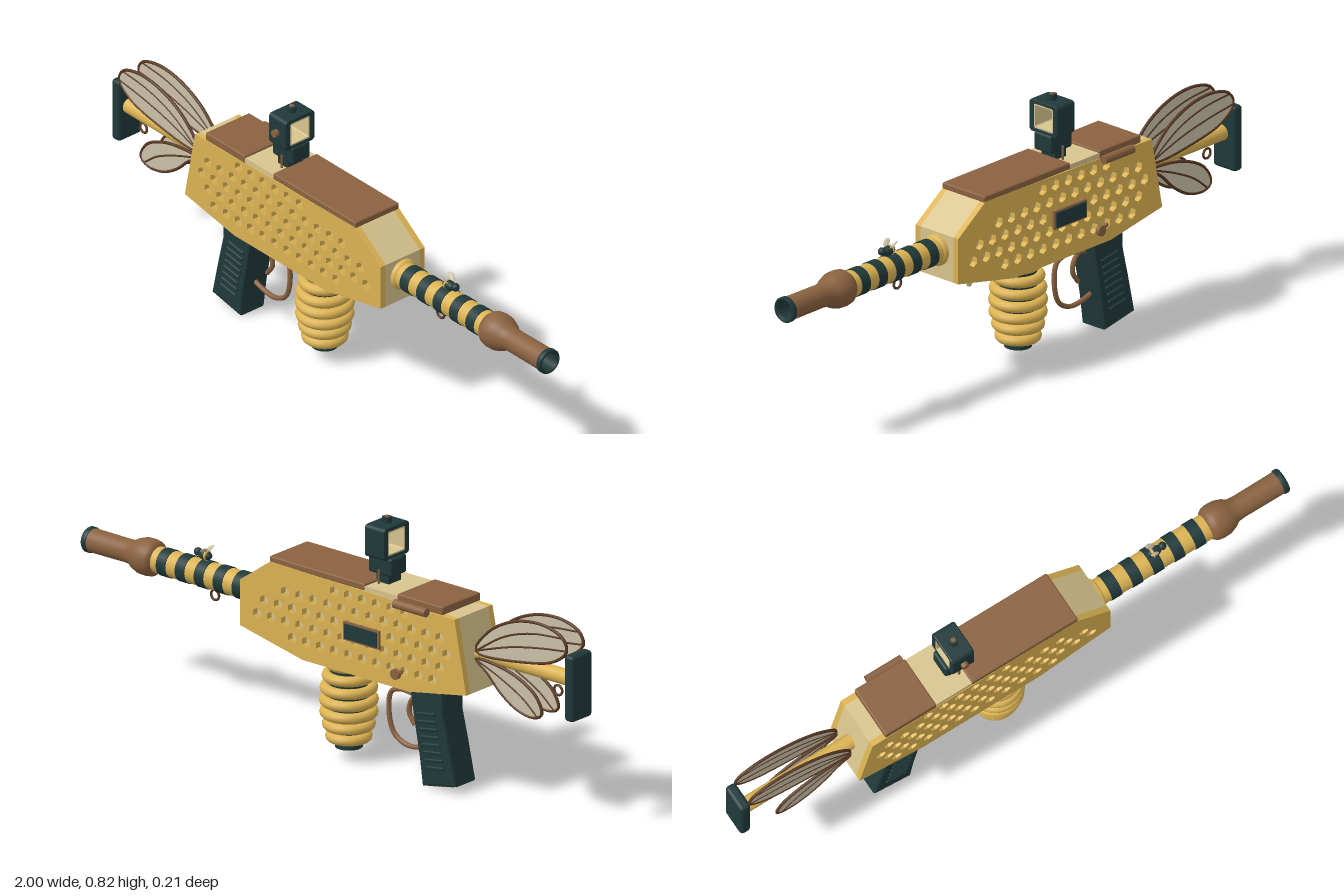
import * as THREE from 'three';
import { RoundedBoxGeometry } from 'three/addons/geometries/RoundedBoxGeometry.js';

const mat = (name, color) => Object.assign(new THREE.MeshStandardMaterial({ color }), { name });
const V = (x, y, z = 0) => new THREE.Vector3(x, y, z);
const MID = 0.011; // centre plane of the model in z

export function createModel() {
  const root = new THREE.Group();
  root.name = 'honeycombBlaster';
  const honey = mat('honey', 0xdcb353), cream = mat('cream', 0xd8c48e), teal = mat('dark teal', 0x20393a);
  const brown = mat('brown', 0x8a6240), wingMat = mat('wing', 0xcbc1a8), vein = mat('vein', 0x5a3a24);

  const add = (name, geo, m, x = 0, y = 0, z = 0, parent = root) => {
    const mesh = new THREE.Mesh(geo, m);
    mesh.name = name;
    mesh.position.set(x, y, z);
    parent.add(mesh);
    return mesh;
  };
  const box = (name, m, x0, x1, y0, y1, z0, z1, r = 0) => add(name,
    r ? new RoundedBoxGeometry(x1 - x0, y1 - y0, z1 - z0, 3, r) : new THREE.BoxGeometry(x1 - x0, y1 - y0, z1 - z0),
    m, (x0 + x1) / 2, (y0 + y1) / 2, (z0 + z1) / 2);
  const shapeOf = pts => new THREE.Shape(pts.map(p => new THREE.Vector2(p[0], p[1])));
  const slab = (shape, depth, bevel = 0) => new THREE.ExtrudeGeometry(shape, {
    depth: depth - 2 * bevel, bevelEnabled: bevel > 0, bevelSize: bevel, bevelThickness: bevel,
    bevelOffset: -bevel, bevelSegments: 2 }).translate(0, 0, bevel);
  // Turned part along x; profile is [x, radius]
  const turned = (name, m, profile, y, z = MID) => {
    const mesh = add(name, new THREE.LatheGeometry(profile.map(p => new THREE.Vector2(p[1], p[0])), 32), m, 0, y, z);
    mesh.rotation.z = -Math.PI / 2;
    return mesh;
  };
  const rod = (name, m, x0, x1, r, y, z = MID) => {
    const mesh = add(name, new THREE.CylinderGeometry(r, r, x1 - x0, 28), m, (x0 + x1) / 2, y, z);
    mesh.rotation.z = -Math.PI / 2;
    return mesh;
  };
  const tube = (name, m, pts, r, z = MID, closed = false) => add(name, new THREE.TubeGeometry(
    new THREE.CatmullRomCurve3(pts.map(p => V(p[0], p[1])), closed), 48, r, 8, closed), m, 0, 0, z);
  const blob = (name, m, x, y, z, sx, sy, sz) => {
    const mesh = add(name, new THREE.SphereGeometry(1, 18, 12), m, x, y, z);
    mesh.scale.set(sx, sy, sz);
    return mesh;
  };

  // Receiver: cream core between two honeycomb side panels
  const outline = [[-0.6, 0.36], [-0.37, 0.318], [0.06, 0.318], [0.313, 0.371], [0.313, 0.52], [0.19, 0.608], [-0.553, 0.596]];
  add('receiverCore', slab(shapeOf(outline), 0.138), cream, 0, 0, -0.058);
  const panel = shapeOf(outline);
  const rows = [[0.571, -0.35, 6], [0.522, -0.493, 12], [0.474, -0.521, 14], [0.426, -0.493, 14], [0.378, -0.464, 11]];
  for (const [y, x0, n] of rows) for (let i = 0; i < n; i++) {
    const hole = new THREE.Path();
    for (let k = 0; k < 6; k++) {
      const a = Math.PI / 6 - k * Math.PI / 3, px = x0 + i * 0.0567 + 0.018 * Math.cos(a), py = y + 0.018 * Math.sin(a);
      k ? hole.lineTo(px, py) : hole.moveTo(px, py);
    }
    hole.closePath();
    panel.holes.push(hole);
  }
  const panelGeo = slab(panel, 0.02);
  add('leftHoneycombPanel', panelGeo, honey, 0, 0, 0.08);
  add('rightHoneycombPanel', panelGeo, honey, 0, 0, -0.078);

  // Top cover in two lengths with a cream insert
  box('rearTopCover', brown, -0.505, -0.32, 0.598, 0.625, -0.078, 0.1, 0.005);
  box('frontTopCover', brown, -0.19, 0.195, 0.603, 0.625, -0.078, 0.1, 0.005);
  box('topInsert', cream, -0.325, -0.185, 0.59, 0.618, -0.076, 0.098);

  // Controls on the right side
  rod('chargingHandle', brown, -0.452, -0.323, 0.014, 0.598, -0.091);
  box('sidePlateFrame', brown, -0.255, -0.11, 0.428, 0.488, -0.086, -0.076);
  box('sidePlate', teal, -0.248, -0.117, 0.434, 0.482, -0.09, -0.078);
  add('selectorPivot', new THREE.CylinderGeometry(0.017, 0.017, 0.014, 20), brown, -0.32, 0.365, -0.083).rotation.x = Math.PI / 2;
  box('selectorLever', brown, -0.35, -0.315, 0.366, 0.38, -0.09, -0.08, 0.004).rotation.z = -0.4;

  // Striped barrel
  turned('barrelCollar', honey, [[0.3, 0.05], [0.322, 0.05], [0.328, 0.043]], 0.462);
  rod('barrel', honey, 0.3, 0.74, 0.042, 0.462);
  for (let i = 0; i < 5; i++) rod('barrelStripe', teal, 0.349 + i * 0.0765, 0.386 + i * 0.0765, 0.0445, 0.462);
  turned('muzzle', brown, [[0.715, 0.02], [0.718, 0.046], [0.732, 0.056], [0.75, 0.059], [0.775, 0.058], [0.8, 0.049],
    [0.815, 0.039], [0.84, 0.037], [0.985, 0.038]], 0.462);
  turned('muzzleRim', teal, [[0.98, 0.038], [0.983, 0.041], [0.996, 0.041], [1, 0.038], [0.998, 0.031], [0.985, 0.029], [0.85, 0.028]], 0.462);
  rod('boreEnd', honey, 0.84, 0.87, 0.028, 0.462);

  // Small bee used as a front sight
  blob('beeBody', teal, 0.53, 0.522, MID, 0.026, 0.015, 0.016);
  blob('beeStripe', honey, 0.522, 0.523, MID, 0.007, 0.017, 0.018);
  blob('beeHead', teal, 0.559, 0.527, MID, 0.013, 0.013, 0.013);
  for (const s of [-1, 1]) {
    const w = blob('beeWing', wingMat, 0.523, 0.543, MID + s * 0.015, 0.017, 0.003, 0.009);
    w.rotation.set(-s * 0.5, s * 0.5, -0.4);
  }

  // Sling rings
  for (const [x, y] of [[0.49, 0.402], [-0.895, 0.425]])
    add('slingRing', new THREE.TorusGeometry(0.016, 0.004, 8, 24), vein, x, y, MID);

  // Stock tube and butt plate
  rod('stockTube', honey, -0.975, -0.55, 0.025, 0.475);
  box('buttPlate', teal, -1, -0.963, 0.355, 0.57, -0.043, 0.052, 0.012);

  // Two pairs of insect wings with veins
  const wings = [
    { edge: [[-0.6, 0.495], [-0.66, 0.575], [-0.767, 0.63], [-0.875, 0.642], [-0.95, 0.618], [-0.967, 0.58], [-0.92, 0.537], [-0.82, 0.508]],
      veins: [[[-0.6, 0.495], [-0.72, 0.57], [-0.83, 0.605], [-0.95, 0.618]], [[-0.6, 0.495], [-0.74, 0.54], [-0.86, 0.565], [-0.967, 0.58]]] },
    { edge: [[-0.6, 0.468], [-0.74, 0.456], [-0.84, 0.405], [-0.866, 0.35], [-0.835, 0.332], [-0.767, 0.342], [-0.7, 0.382], [-0.645, 0.435]],
      veins: [[[-0.6, 0.468], [-0.7, 0.43], [-0.79, 0.385], [-0.85, 0.337]]] },
  ];
  for (const z of [-0.032, 0.046]) for (const { edge, veins } of wings) {
    const curve = new THREE.CatmullRomCurve3(edge.map(p => V(p[0], p[1])), true);
    add('wing', slab(new THREE.Shape(curve.getPoints(60).slice(0, -1).map(p => new THREE.Vector2(p.x, p.y))), 0.004), wingMat, 0, 0, z - 0.002);
    tube('wingEdge', vein, edge, 0.005, z, true);
    for (const v of veins) tube('wingVein', vein, v, 0.004, z);
  }

  // Ribbed pistol grip
  const grip = [[-0.388, 0.004], [-0.375, 0.1], [-0.356, 0.2], [-0.335, 0.325], [-0.468, 0.325], [-0.47, 0.25], [-0.492, 0.16], [-0.521, 0.03]];
  add('grip', slab(shapeOf(grip), 0.1, 0.008), teal, 0, 0, -0.039);
  for (let i = 0; i < 8; i++) for (const z of [-0.04, 0.062]) {
    const y = 0.075 + i * 0.024;
    const rib = add('gripRib', new RoundedBoxGeometry(0.075, 0.011, 0.01, 2, 0.004), teal, -0.445 + (y - 0.06) * 0.22, y, z);
    rib.rotation.z = -0.16;
  }
  const cap = add('gripCap', new THREE.BoxGeometry(0.105, 0.006, 0.075), brown, -0.4535, 0.0175, MID);
  cap.rotation.z = -0.193;

  // Trigger and guard
  tube('triggerGuard', brown, [[-0.39, 0.125], [-0.355, 0.109], [-0.285, 0.1], [-0.232, 0.128], [-0.212, 0.195],
    [-0.222, 0.26], [-0.265, 0.276], [-0.36, 0.262]], 0.008);
  tube('trigger', brown, [[-0.335, 0.275], [-0.303, 0.25], [-0.294, 0.21], [-0.318, 0.172]], 0.008);

  // Beehive magazine
  add('magazineCore', new THREE.CylinderGeometry(0.06, 0.055, 0.27, 28), teal, -0.05, 0.2, MID);
  add('magazineFoot', new THREE.CylinderGeometry(0.043, 0.043, 0.04, 28), teal, -0.05, 0.06, MID);
  [0.073, 0.084, 0.09, 0.092, 0.091, 0.083, 0.073].forEach((r, i) => {
    const ring = add('magazineRing', new THREE.TorusGeometry(r - 0.017, 0.017, 12, 36), honey, -0.05, 0.312 - i * 0.0393, MID);
    ring.rotation.x = Math.PI / 2;
  });

  // Honey drips under the receiver
  blob('frontDrip', cream, 0.17, 0.319, MID, 0.011, 0.021, 0.012);
  blob('rearDrip', honey, -0.135, 0.317, MID, 0.011, 0.014, 0.011);

  // Reflex sight: pedestal, see-through housing, lens trim and knobs
  box('sightFoot', teal, -0.235, -0.185, 0.61, 0.655, -0.017, 0.04);
  box('sightNeck', teal, -0.254, -0.158, 0.645, 0.705, -0.026, 0.048, 0.008);
  for (const z of [-0.03, 0.05]) add('sightClamp', new THREE.CylinderGeometry(0.004, 0.004, 0.045, 10), brown, -0.206, 0.64, z);
  const rounded = (w, h, r, Kind) => {
    const s = new Kind();
    s.moveTo(w - r, -h).absarc(w - r, -h + r, r, -Math.PI / 2, 0).absarc(w - r, h - r, r, 0, Math.PI / 2)
      .absarc(-w + r, h - r, r, Math.PI / 2, Math.PI).absarc(-w + r, -h + r, r, Math.PI, Math.PI * 1.5);
    return s;
  };
  const frame = (name, m, w, h, r, iw, ih, depth, bevel) => {
    const s = rounded(w, h, r, THREE.Shape);
    s.holes.push(rounded(iw, ih, 0.005, THREE.Path));
    add(name, slab(s, depth, bevel).translate(0, 0, -depth / 2), m, -0.203, 0.753, 0.012).rotation.y = Math.PI / 2;
  };
  frame('sightHousing', teal, 0.06, 0.053, 0.014, 0.039, 0.039, 0.08, 0.004);
  frame('sightTrim', cream, 0.041, 0.041, 0.008, 0.035, 0.035, 0.076, 0);
  add('sightKnob', new THREE.CylinderGeometry(0.012, 0.012, 0.018, 20), brown, -0.203, 0.753, 0.077).rotation.x = Math.PI / 2;
  add('sightTopDial', new THREE.CylinderGeometry(0.015, 0.015, 0.02, 20), teal, -0.203, 0.814, 0.012);
  add('sightDialCap', new THREE.CylinderGeometry(0.008, 0.008, 0.003, 16), brown, -0.203, 0.8255, 0.012);
  return root;
}
